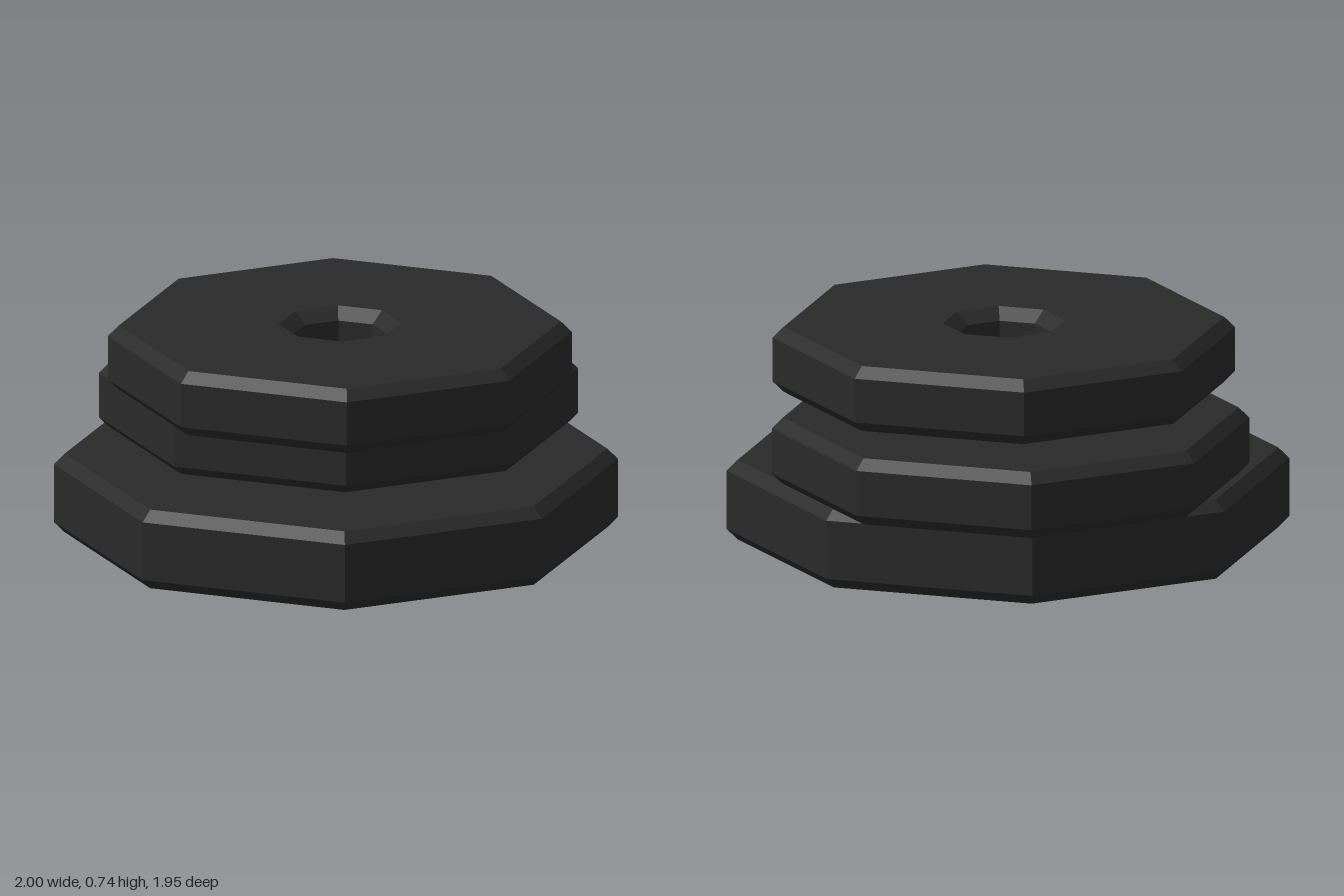
import * as THREE from 'three';

const darkIron = new THREE.MeshStandardMaterial({ color: 0x2a2a2a, flatShading: true });
darkIron.name = 'darkIron';

// Eight-sided plate with chamfered rims and a centre hole countersunk from above
function plate(name, { x, z, y0, y1, radius, hole }) {
  const c = 0.037;
  const profile = [
    [hole, y0], [radius - c, y0], [radius, y0 + c], [radius, y1 - c],
    [radius - c, y1], [hole + 0.045, y1], [hole, y1 - 0.04], [hole, y0],
  ].map(([r, y]) => new THREE.Vector2(r, y));
  const mesh = new THREE.Mesh(new THREE.LatheGeometry(profile, 8), darkIron);
  mesh.name = name;
  mesh.position.set(x, 0, z);
  mesh.rotation.y = -0.055;
  return mesh;
}

export function createModel() {
  const group = new THREE.Group();
  group.name = 'stackedWeightPlates';
  group.add(
    plate('bottomPlate', { x: -0.048, z: 0.02, y0: 0, y1: 0.278, radius: 0.954, hole: 0.11 }),
    plate('middlePlate', { x: 0.192, z: -0.171, y0: 0.274, y1: 0.505, radius: 0.81, hole: 0.11 }),
    plate('topPlate', { x: -0.053, z: 0.041, y0: 0.508, y1: 0.735, radius: 0.784, hole: 0.162 }),
  );
  return group;
}
